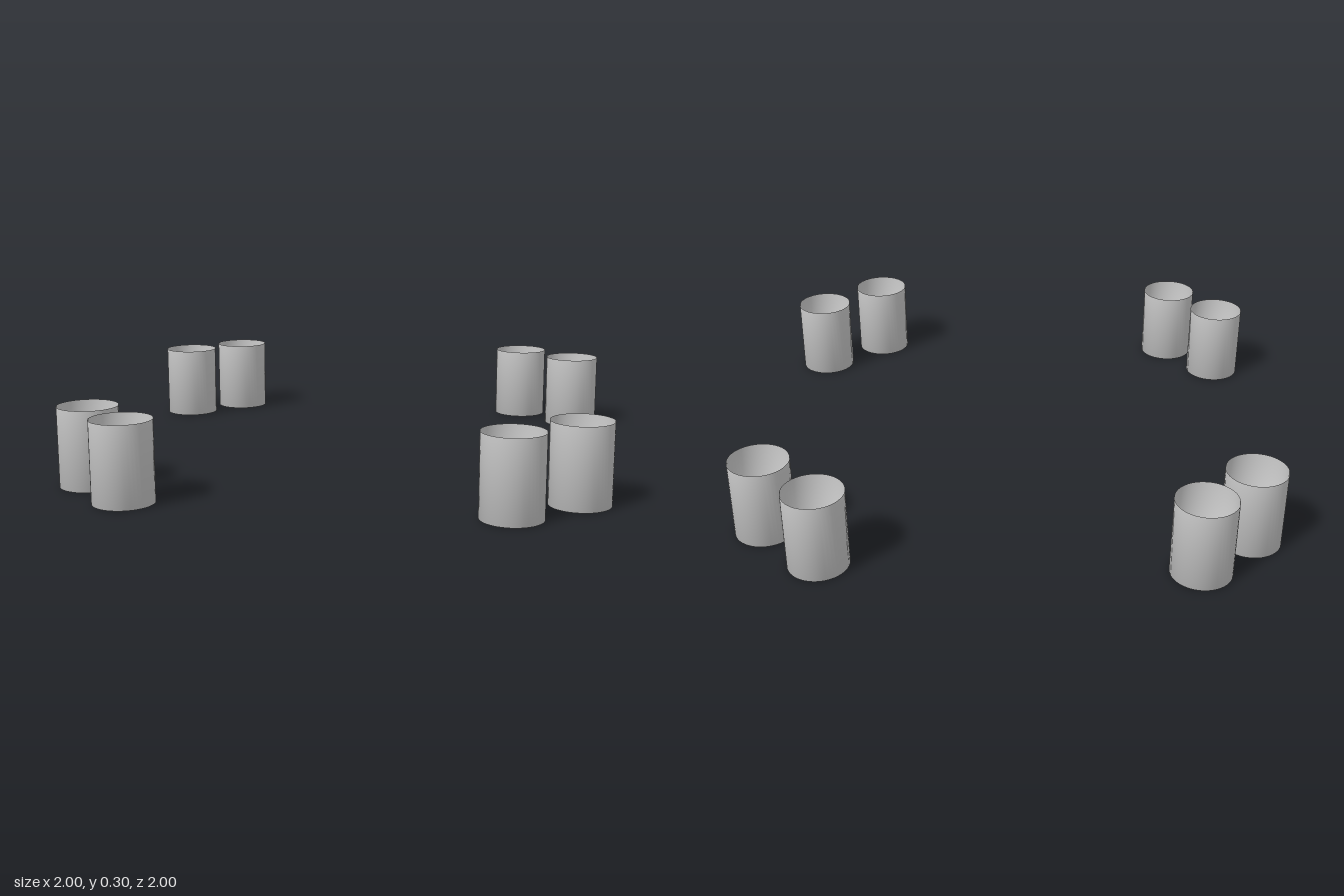
import * as THREE from 'three';

// Eight open-topped cups standing in pairs at the four corners
export function createModel() {
  const group = new THREE.Group();
  const radius = 0.112, height = 0.3;

  const material = new THREE.MeshStandardMaterial({ color: 0xcccccc, side: THREE.DoubleSide });

  // Thin cup: flat floor and straight wall, shaded smoothly across the bottom rim
  const profile = [[0, 0], [radius, 0], [radius, height]].map(([x, y]) => new THREE.Vector2(x, y));
  const cup = new THREE.LatheGeometry(profile, 48);

  // Inner cups sit towards the front or back, outer cups towards the sides
  const innerX = { left: 0.655, right: -0.692 };
  const outerX = { left: 0.886, right: -0.888 };
  const innerZ = { Front: 0.886, Back: -0.888 };
  const outerZ = { Front: 0.681, Back: -0.691 };

  const addCup = (name, x, z) => {
    const mesh = new THREE.Mesh(cup, material);
    mesh.name = name;
    mesh.position.set(x, 0, z);
    group.add(mesh);
  };

  for (const side of ['left', 'right']) {
    for (const end of ['Front', 'Back']) {
      addCup(`${side}${end}InnerCup`, innerX[side], innerZ[end]);
      addCup(`${side}${end}OuterCup`, outerX[side], outerZ[end]);
    }
  }
  return group;
}
